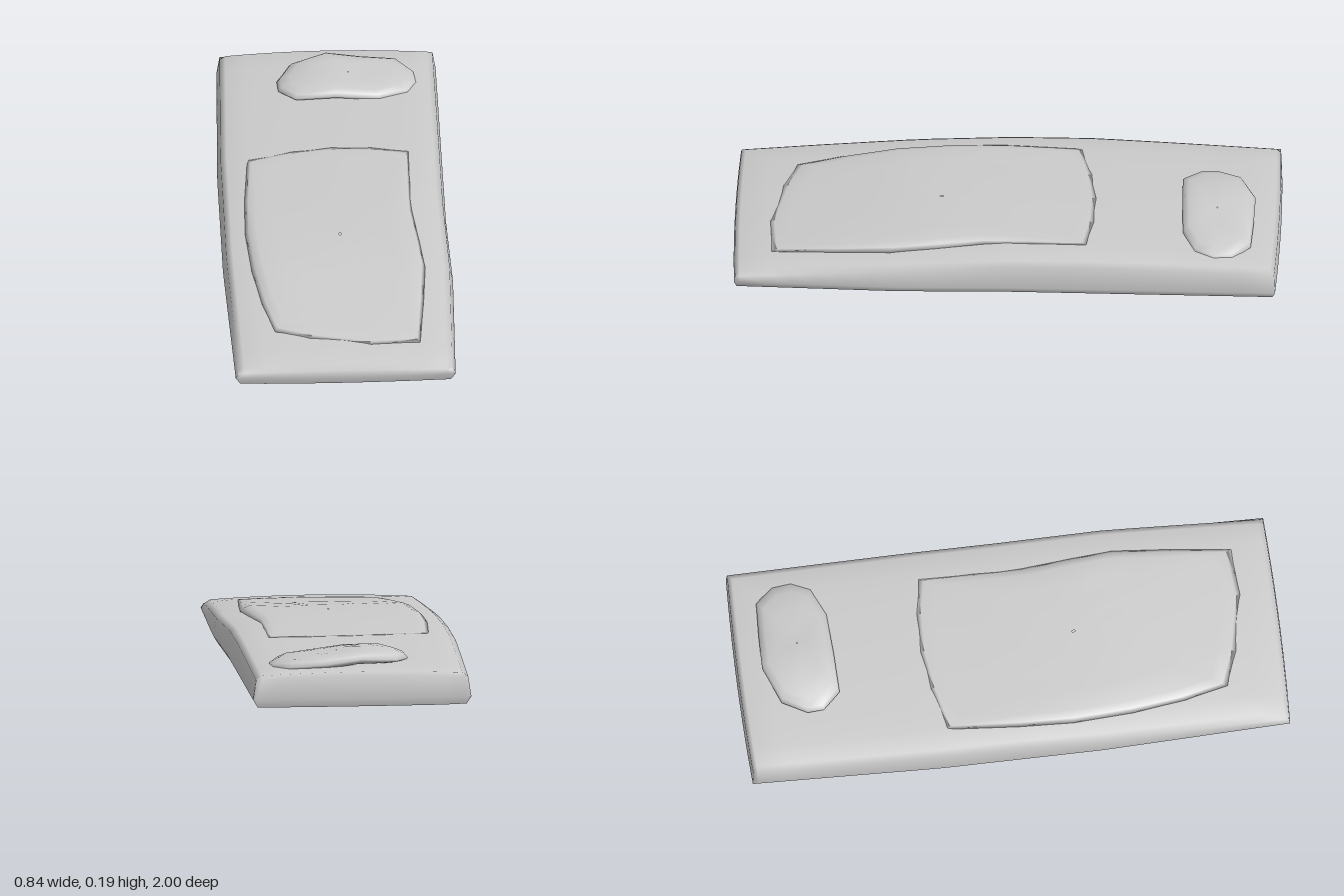
import * as THREE from 'three';

const grey = () => new THREE.MeshStandardMaterial({ color: 0xcccccc, side: THREE.DoubleSide });

// Linear interpolation through [position, value] pairs
function along(table, t) {
  if (t <= table[0][0]) return table[0][1];
  for (let i = 1; i < table.length; i++) {
    const [a, va] = table[i - 1], [b, vb] = table[i];
    if (t <= b) return va + (vb - va) * (t - a) / (b - a);
  }
  return table[table.length - 1][1];
}

// Height of the slab along its shoulders, with a slight crown across x
const shoulder = [[-1, 0.132], [-0.6, 0.143], [-0.3, 0.149], [0, 0.146], [0.4, 0.124], [0.7, 0.102], [1, 0.077]];
const crown = x => 0.011 * (1 - (x / 0.4) ** 2);
const slabTop = (x, z) => along(shoulder, z) + crown(x);

function meshFrom(name, positions, index) {
  const geo = new THREE.BufferGeometry();
  geo.setAttribute('position', new THREE.Float32BufferAttribute(positions, 3));
  geo.setIndex(index);
  geo.computeVertexNormals();
  const mesh = new THREE.Mesh(geo, grey());
  mesh.name = name;
  return mesh;
}

// Open-bottomed slab: a grid whose outer rings fold down into the walls
function makeSlab() {
  const nx = 16, nz = 26;
  const insetX = [0.018, 0, 0.012, 0.034], insetZ = [0.012, 0.002, 0.006, 0.022];
  const spread = (i, n, half, inset) => {
    const k = Math.min(i, n - i), sign = i < n / 2 ? -1 : 1;
    if (k < 4) return sign * (half - inset[k]);
    return (half - inset[3]) * ((i - 3) / (n - 6) * 2 - 1);
  };
  const clamp = THREE.MathUtils.clamp;
  const pos = [], index = [];
  for (let j = 0; j <= nz; j++) for (let i = 0; i <= nx; i++) {
    const ring = Math.min(i, nx - i, j, nz - j);
    let x = spread(i, nx, 0.415, insetX), z = spread(j, nz, 0.99, insetZ);
    if (ring === 0) {
      x = clamp(x, -0.415 + insetX[0], 0.415 - insetX[0]);
      z = clamp(z, -0.99 + insetZ[0], 0.99 - insetZ[0]);
    }
    // long sides bow outwards, ends bulge at their middle
    const taper = x < 0 ? along([[-1, 0.945], [-0.3, 1.005], [0.3, 1.012], [1, 0.965]], z)
      : along([[-1, 0.985], [0, 0.98], [0.4, 1.005], [1, 0.97]], z);
    const top = slabTop(x, z);
    const base = x < -0.38 ? along([[-1, 0.017], [0.3, 0.002], [1, 0.017]], z) : 0.015;
    const y = [base, 0.045, top - 0.016, top - 0.003][ring] ?? top;
    pos.push(x * taper, y, z + Math.sign(z) * 0.011 * Math.abs(z) ** 8 * (1 - (x / 0.42) ** 2));
    if (i < nx && j < nz) {
      const a = j * (nx + 1) + i, b = a + 1, c = a + nx + 1, d = c + 1;
      index.push(a, c, b, b, c, d);
    }
  }
  return meshFrom('slab', pos, index);
}

// Closed cushion: outline rings [scale, height] from the bottom centre to the top centre
function makeCushion(name, outline, rings, heightAt) {
  const n = outline.length;
  const cx = outline.reduce((s, p) => s + p[0], 0) / n, cz = outline.reduce((s, p) => s + p[1], 0) / n;
  const pos = [], index = [];
  rings.forEach(([scale, level], r) => {
    for (let i = 0; i < n; i++) {
      const x = cx + (outline[i][0] - cx) * scale, z = cz + (outline[i][1] - cz) * scale;
      pos.push(x, heightAt(x, z, level), z);
      if (r < rings.length - 1) {
        const a = r * n + i, b = r * n + (i + 1) % n;
        index.push(a, a + n, b, b, a + n, b + n);
      }
    }
  });
  return meshFrom(name, pos, index);
}

export function createModel() {
  const model = new THREE.Group();
  model.name = 'slabWithCushions';
  model.add(makeSlab());

  // Broad, barely raised panel over the front two thirds
  const panelOutline = [
    [-0.31, -0.27], [-0.15, -0.31], [0, -0.33], [0.15, -0.325], [0.285, -0.3], [0.28, -0.1], [0.28, 0.08],
    [0.3, 0.26], [0.315, 0.42], [0.3, 0.64], [0.28, 0.86], [0.1, 0.875], [-0.12, 0.83], [-0.25, 0.78],
    [-0.29, 0.62], [-0.32, 0.42], [-0.335, 0.2], [-0.33, 0]];
  const panelTop = [[-0.33, 0.158], [-0.2, 0.162], [0, 0.167], [0.2, 0.165], [0.4, 0.157], [0.65, 0.128], [0.88, 0.101]];
  model.add(makeCushion('raisedPanel', panelOutline,
    [[0.01, -0.35], [0.5, -0.35], [0.93, -0.25], [1, 0], [0.96, 0.6], [0.88, 1], [0.65, 1], [0.4, 1], [0.2, 1], [0.01, 1]],
    (x, z, level) => {
      const base = slabTop(x, z) - 0.001;
      const raise = Math.max(along(panelTop, z) - 0.004 * (x / 0.3) ** 2 - base, 0.004);
      return base + (level < 0 ? level * 0.02 : level * raise);
    }));

  // Rounded pillow near the back, tallest around x = 0
  const pillowOutline = [
    [-0.182, -0.76], [-0.178, -0.7], [-0.12, -0.635], [0.03, -0.638], [0.19, -0.645], [0.3, -0.69], [0.335, -0.76],
    [0.325, -0.83], [0.265, -0.895], [0.13, -0.902], [0, -0.905], [-0.135, -0.85]];
  const pillowTop = [[-0.18, 0.18], [-0.1, 0.192], [0, 0.199], [0.15, 0.178], [0.25, 0.174], [0.335, 0.158]];
  model.add(makeCushion('pillow', pillowOutline.reverse(),
    [[0.01, -1], [0.5, -1], [0.85, -0.8], [0.97, -0.4], [1, 0], [0.95, 0.5], [0.82, 0.85], [0.55, 1], [0.25, 1], [0.01, 1]],
    (x, z, level) => {
      const top = along(pillowTop, x), rim = top - 0.026;
      return rim + level * (level < 0 ? 0.022 : 0.026);
    }));
  return model;
}
